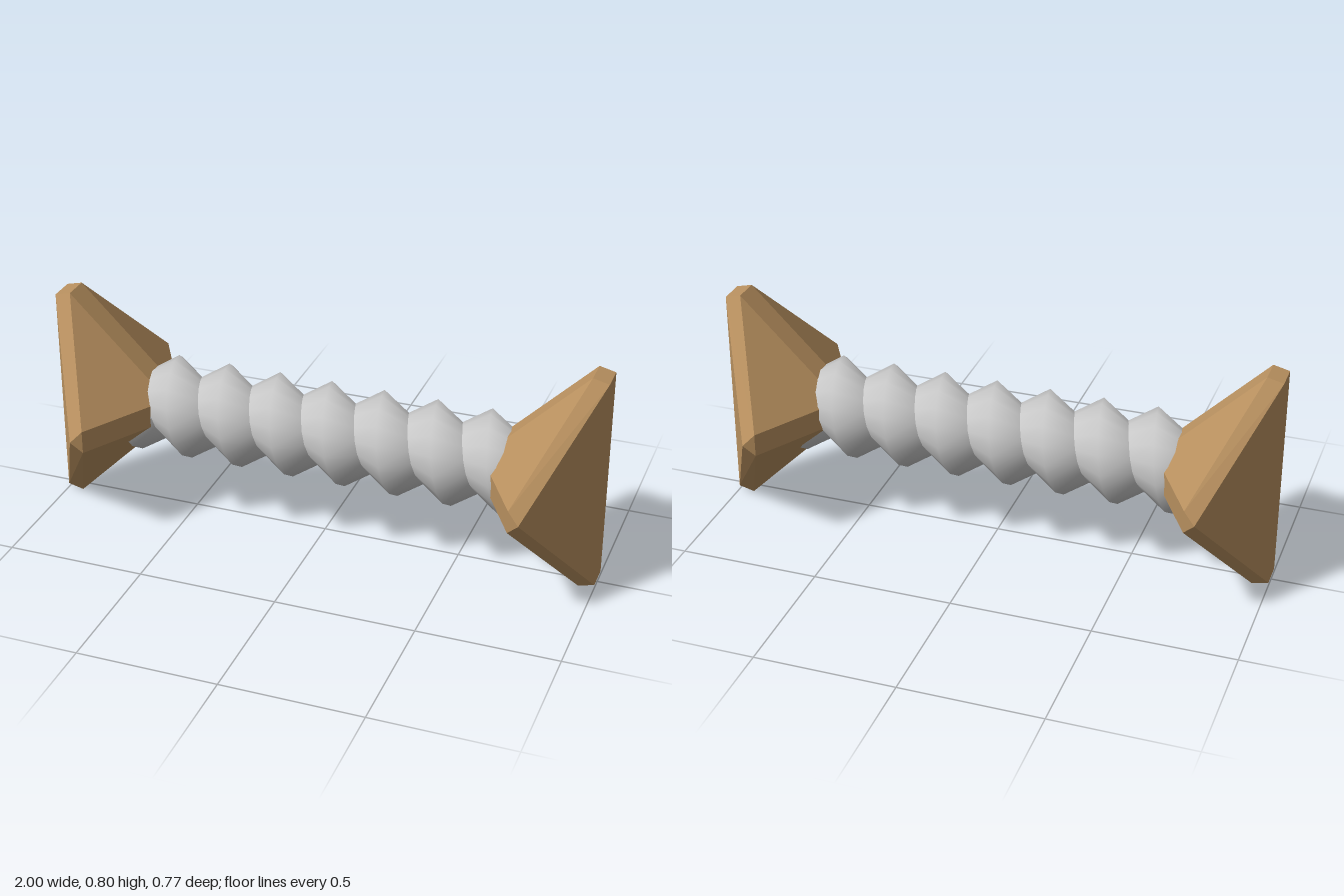
import * as THREE from 'three';
import { ConvexGeometry } from 'three/addons/geometries/ConvexGeometry.js';

const AXIS_Y = 0.405;

// Bevelled triangular bipyramid; side is +1 (left) or -1 (right)
function endBlock(side) {
  const points = [];
  const add = (x, dy, z) => points.push(new THREE.Vector3(side * x, AXIS_Y + dy, z));
  for (const z of [-1, 1]) {
    for (const y of [-1, 1]) {
      add(1, y * 0.388, z * 0.047);       // outer edge
      add(0.943, y * 0.402, z * 0.047);   // top and bottom corners
      add(0.58, y * 0.041, z * 0.047);    // inner corner
      add(0.763, y * 0.041, z * 0.367);   // blunt front and back tips
    }
    add(0.803, 0, z * 0.383);
  }
  return new ConvexGeometry(points);
}

// Helical ribbon with a V-shaped ridge; smooth over the crest, sharp in the valleys
function screwThread() {
  const pitch = 0.194, steps = 16, turns = 7.5, centreX = 0.013;
  const profile = [[-pitch / 2, 0.115], [0, 0.179], [pitch / 2, 0.115]];
  const positions = [], index = [];
  const count = steps * turns;
  for (let i = 0; i <= count; i++) {
    const turn = i / steps - turns / 2;
    const a = turn * Math.PI * 2;
    for (const [dx, r] of profile) {
      positions.push(centreX + turn * pitch + dx, AXIS_Y + r * Math.cos(a), r * Math.sin(a));
    }
    if (i === count) break;
    for (let j = 0; j < 2; j++) {
      const p = i * 3 + j;
      index.push(p, p + 3, p + 1, p + 1, p + 3, p + 4);
    }
  }
  const geometry = new THREE.BufferGeometry();
  geometry.setAttribute('position', new THREE.Float32BufferAttribute(positions, 3));
  geometry.setIndex(index);
  geometry.computeVertexNormals();
  return geometry;
}

export function createModel() {
  const wood = new THREE.MeshStandardMaterial({ color: 0xb8905f });
  wood.name = 'wood';
  const metal = new THREE.MeshStandardMaterial({ color: 0xc8c8c8, side: THREE.DoubleSide });
  metal.name = 'greyMetal';

  const model = new THREE.Group();
  model.name = 'screwWithEndBlocks';
  const add = (name, geometry, material) => {
    const mesh = new THREE.Mesh(geometry, material);
    mesh.name = name;
    model.add(mesh);
  };
  add('leftEndBlock', endBlock(1), wood);
  add('rightEndBlock', endBlock(-1), wood);
  add('screwThread', screwThread(), metal);
  return model;
}
